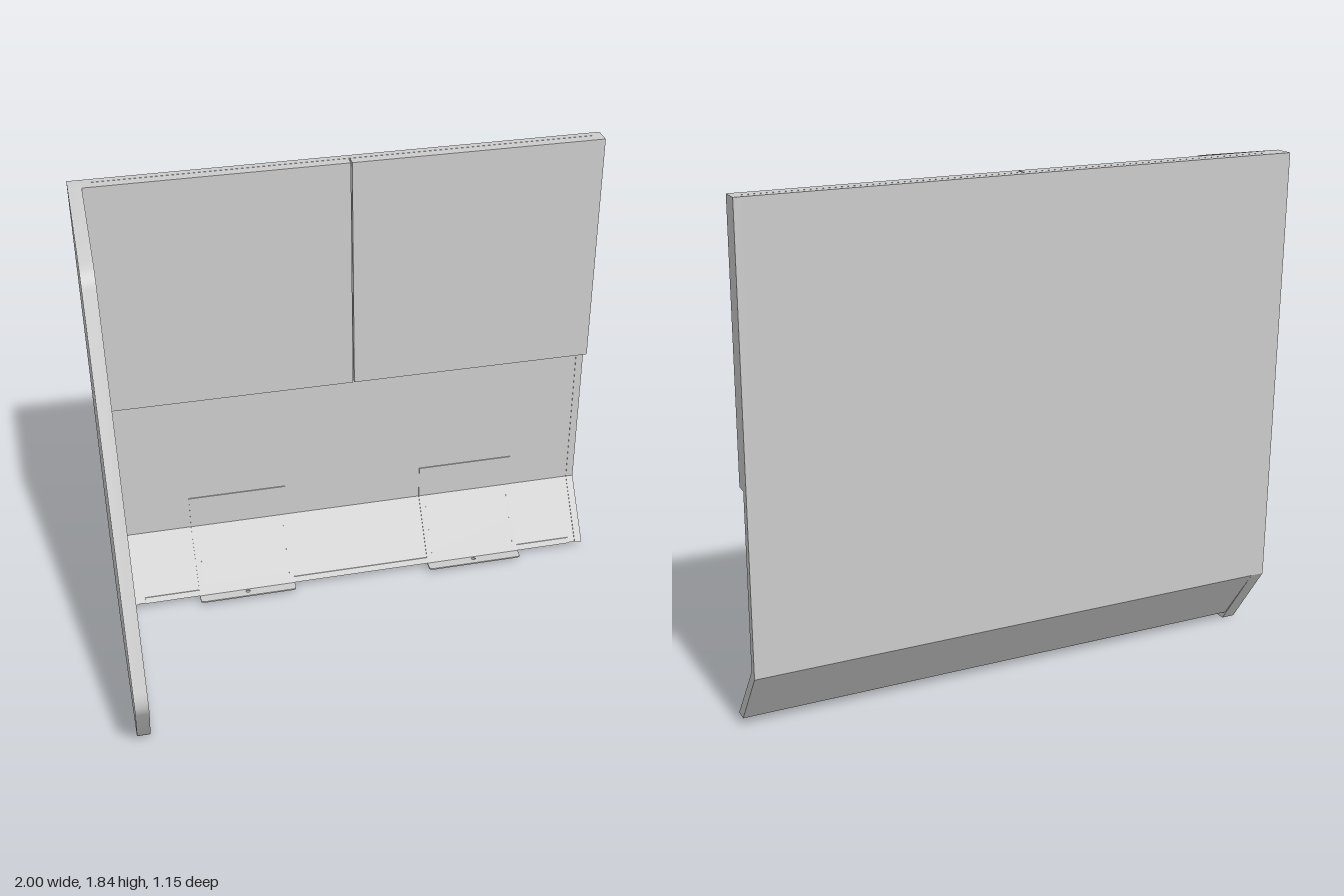
import * as THREE from 'three';
import { toCreasedNormals } from 'three/addons/utils/BufferGeometryUtils.js';

const material = new THREE.MeshStandardMaterial({ color: 0xcccccc });

function add(parent, name, geometry) {
  const mesh = new THREE.Mesh(geometry, material);
  mesh.name = name;
  parent.add(mesh);
  return mesh;
}

// Closed outline from corners [a, b, rounding]
function outline(corners) {
  const shape = new THREE.Shape();
  const n = corners.length;
  corners.forEach(([a, b, r = 0], i) => {
    const p = new THREE.Vector2(a, b);
    const toward = (q) => new THREE.Vector2(q[0], q[1]).sub(p).setLength(r).add(p);
    const start = r ? toward(corners[(i + n - 1) % n]) : p;
    if (i === 0) shape.moveTo(start.x, start.y);
    else shape.lineTo(start.x, start.y);
    if (r) {
      const end = toward(corners[(i + 1) % n]);
      shape.quadraticCurveTo(p.x, p.y, end.x, end.y);
    }
  });
  shape.closePath();
  return shape;
}

// Extrude a (z, y) profile along x from x0 to x1
function alongX(corners, x0, x1) {
  const g = new THREE.ExtrudeGeometry(outline(corners), { depth: x1 - x0, bevelEnabled: false, curveSegments: 8 });
  g.rotateY(-Math.PI / 2).translate(x1, 0, 0);
  return toCreasedNormals(g, 0.5);
}

// Box given by its limits on each axis
function box(x0, x1, y0, y1, z0, z1) {
  return new THREE.BoxGeometry(x1 - x0, y1 - y0, z1 - z0)
    .translate((x0 + x1) / 2, (y0 + y1) / 2, (z0 + z1) / 2);
}

// Thin plate standing on y = 0, with round holes [x, y, radius]
function plate(width, height, thickness, holes = [], round = 0) {
  const w = width / 2;
  const shape = outline([[-w, 0], [w, 0], [w, height, round], [-w, height, round]]);
  for (const [x, y, r] of holes) {
    shape.holes.push(new THREE.Path().absarc(x, y, r, 0, Math.PI * 2, true));
  }
  return new THREE.ExtrudeGeometry(shape, { depth: thickness, bevelEnabled: false, curveSegments: 6 });
}

export function createModel() {
  const model = new THREE.Group();
  model.name = 'wallPanelUnit';

  // Large side panel with softened front corners
  add(model, 'sidePanel', alongX([
    [-0.575, 1.84], [-0.575, 0.25], [-0.405, 0], [0.364, 0, 0.06],
    [0.59, 0.35, 0.06], [-0.035, 1.754, 0.06], [-0.505, 1.84],
  ], -1, -0.95));

  // Upright back panel and its sloping foot, slightly recessed between edge strips
  add(model, 'backPanel', alongX([
    [-0.575, 1.84], [-0.575, 0.25], [-0.547, 0.264], [-0.547, 1.84],
  ], -0.915, 0.97));
  add(model, 'slopingPanel', alongX([
    [-0.575, 0.25], [-0.42, 0.03], [-0.38, 0.03], [-0.547, 0.264],
  ], -0.915, 0.97));
  for (const [x0, x1] of [[-0.95, -0.915], [0.97, 1]]) {
    add(model, 'edgeStrip', alongX([
      [-0.575, 1.84], [-0.575, 0.25], [-0.42, 0.03], [-0.375, 0.03], [-0.545, 0.265], [-0.545, 1.84],
    ], x0, x1));
  }

  // Narrow bar along the lower edge of the slope
  add(model, 'lowerBar', alongX([
    [-0.392, 0.05], [-0.396, 0.03], [-0.376, 0.03], [-0.389, 0.05],
  ], -0.89, 0.94));

  // Two upper front panels with a fine gap between
  for (const [x0, x1] of [[-0.95, 0.0205], [0.0255, 1]]) {
    add(model, 'upperPanel', box(x0, x1, 0.9, 1.84, -0.545, -0.505));
  }

  // Bent brackets: wall flange, drilled sloping plate and foot flange
  const slopeHoles = [];
  for (const x of [-0.178, 0.178]) {
    for (const y of [0.043, 0.142, 0.241]) slopeHoles.push([x, y, 0.004]);
  }
  for (const x of [-0.465, 0.51]) {
    const bracket = new THREE.Group();
    bracket.name = 'bracket';
    bracket.position.x = x;
    model.add(bracket);

    const wall = add(bracket, 'wallFlange', plate(0.4, 0.145, 0.004));
    wall.position.set(0, 0.264, -0.547);

    const slope = add(bracket, 'slopingPlate', plate(0.4, 0.288, 0.004, slopeHoles));
    slope.position.set(0, 0.03, -0.379);
    slope.rotation.x = Math.atan2(-0.167, 0.234);

    const foot = add(bracket, 'footFlange', plate(0.4, 0.075, 0.006, [[0, 0.045, 0.009]], 0.015));
    foot.position.set(0, 0.03, -0.41);
    foot.rotation.x = Math.PI / 2;
  }

  return model;
}
